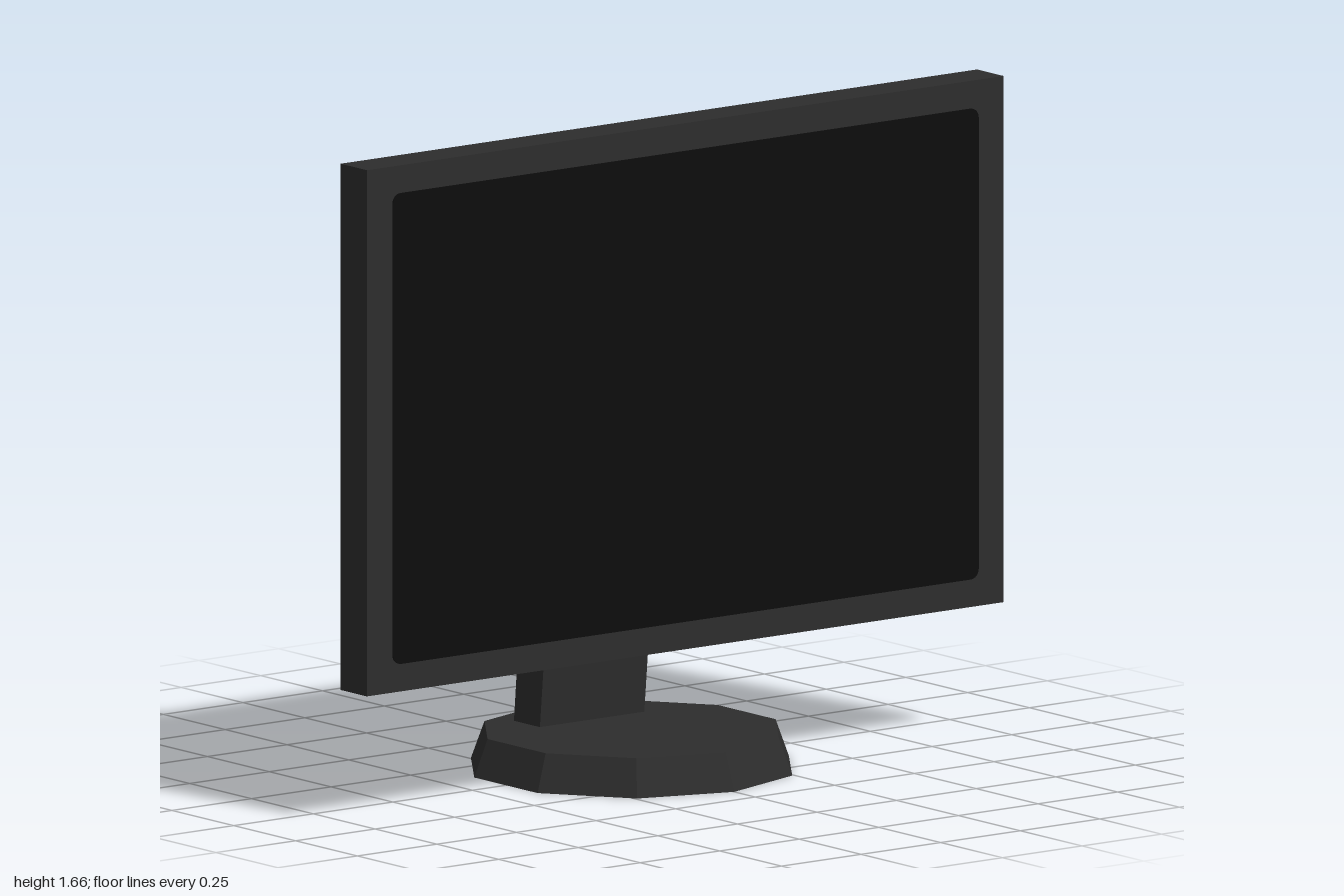
import * as THREE from 'three';

const plastic = new THREE.MeshStandardMaterial({ color: 0x2d2d2d, flatShading: true });
plastic.name = 'dark grey plastic';
const glass = new THREE.MeshStandardMaterial({ color: 0x0d0d0d, flatShading: true });
glass.name = 'black screen';

const MID_Y = 0.995; // height of the display's centre

function roundedRect(w, h, r) {
  const s = new THREE.Shape();
  const x = w / 2, y = h / 2;
  s.absarc(x - r, y - r, r, 0, Math.PI / 2);
  s.absarc(-x + r, y - r, r, Math.PI / 2, Math.PI);
  s.absarc(-x + r, -y + r, r, Math.PI, Math.PI * 1.5);
  s.absarc(x - r, -y + r, r, Math.PI * 1.5, Math.PI * 2);
  s.closePath();
  return s;
}

export function createModel() {
  const model = new THREE.Group();
  model.name = 'monitor';

  const add = (name, geometry, material, x, y, z) => {
    const mesh = new THREE.Mesh(geometry, material);
    mesh.name = name;
    mesh.position.set(x, y, z);
    model.add(mesh);
    return mesh;
  };

  // Ten-sided tapered foot
  add('base', new THREE.CylinderGeometry(0.38, 0.415, 0.095, 10), plastic, 0, 0.0475, 0);

  // Leaning stand with a short arm to the display, drawn as a (z, y) profile
  const profile = new THREE.Shape([
    [-0.03, 0.99], [-0.185, 0.99], [-0.265, 0.09],
    [-0.16, 0.09], [-0.085, 0.875], [-0.03, 0.875],
  ].map(([z, y]) => new THREE.Vector2(z, y)));
  const stand = new THREE.ExtrudeGeometry(profile, { depth: 0.328, bevelEnabled: false });
  stand.translate(0, 0, -0.164).rotateY(-Math.PI / 2);
  add('stand', stand, plastic, 0, 0, 0);

  // Front frame of the display
  add('bezel', new THREE.BoxGeometry(2, 1.33, 0.107), plastic, 0, MID_Y, 0.1635);

  // Rear housing: a box whose back face shrinks to half size
  const housing = new THREE.BoxGeometry(2, 1.33, 0.146);
  const p = housing.attributes.position;
  for (let i = 0; i < p.count; i++) {
    if (p.getZ(i) < 0) p.setXY(i, p.getX(i) * 0.5, p.getY(i) * 0.5);
  }
  housing.computeVertexNormals();
  add('rearHousing', housing, plastic, 0, MID_Y, 0.037);

  // Thin screen plate with slightly rounded corners
  const screen = new THREE.ExtrudeGeometry(roundedRect(1.84, 1.19, 0.025), {
    depth: 0.004, bevelEnabled: false, curveSegments: 4,
  });
  add('screen', screen, glass, 0, MID_Y, 0.216);

  return model;
}
